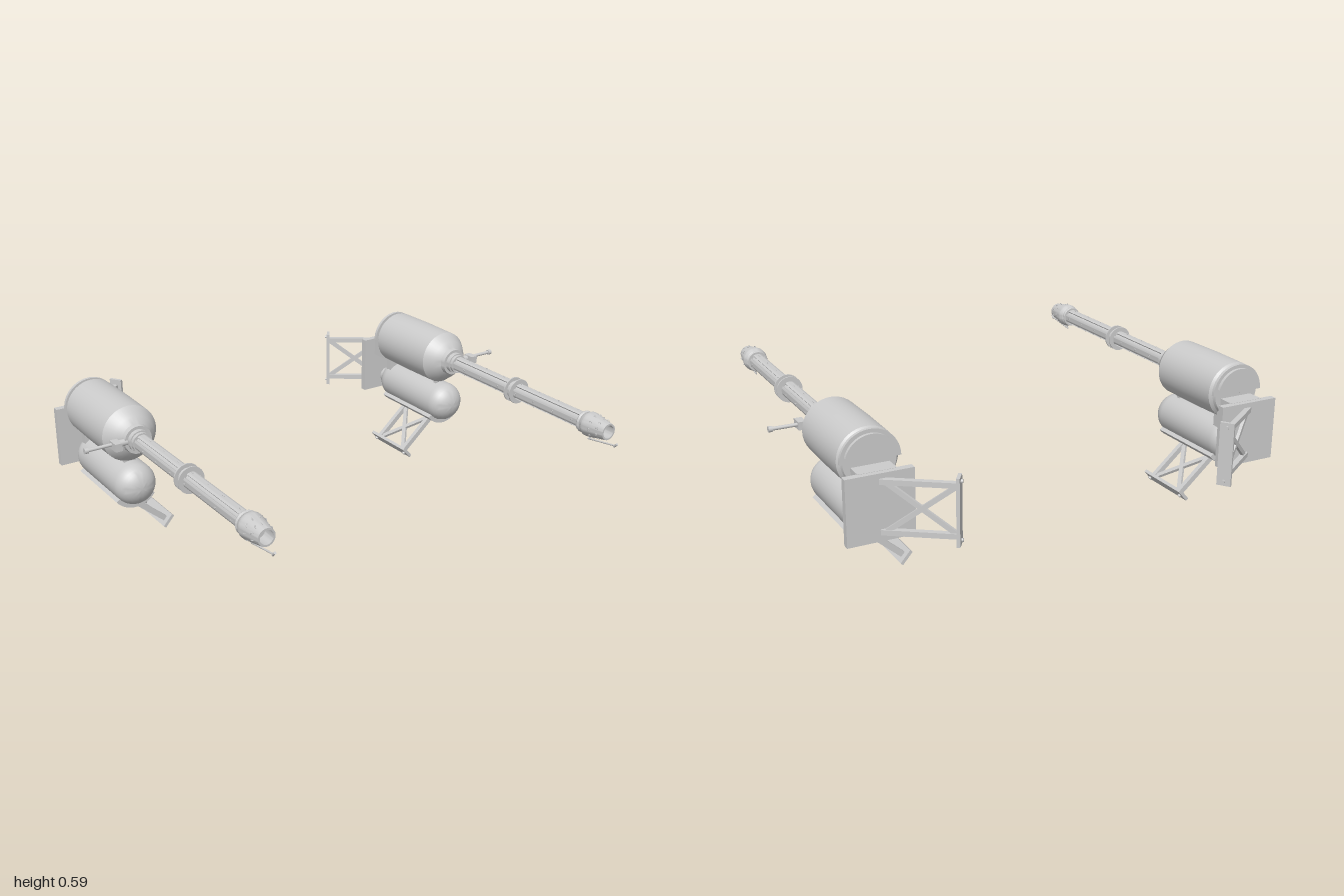
import * as THREE from 'three';
import { toCreasedNormals } from 'three/addons/utils/BufferGeometryUtils.js';

const V = (x, y, z) => new THREE.Vector3(x, y, z);
const mat = new THREE.MeshStandardMaterial({ color: 0xcccccc, side: THREE.DoubleSide });
const BODY_Y = 0.485, TANK_Y = 0.275, CX = 0.78;

function add(parent, name, geo, x = 0, y = 0, z = 0) {
  const mesh = new THREE.Mesh(geo, mat);
  mesh.name = name;
  mesh.position.set(x, y, z);
  parent.add(mesh);
  return mesh;
}

// Turned part along z; profile is [radius, z] from back to front
function turned(profile, segs = 40) {
  const geo = new THREE.LatheGeometry(profile.map(([r, z]) => new THREE.Vector2(r, z)), segs);
  return toCreasedNormals(geo.rotateX(Math.PI / 2), 0.45);
}

// Curved plate around the z axis, angles in degrees
function sector(r0, r1, a0, a1, z0, z1) {
  const s = new THREE.Shape(), k = Math.PI / 180;
  s.absarc(0, 0, r1, a0 * k, a1 * k, false);
  s.absarc(0, 0, r0, a1 * k, a0 * k, true);
  const geo = new THREE.ExtrudeGeometry(s, { depth: z1 - z0, bevelEnabled: false, curveSegments: 16 });
  return toCreasedNormals(geo.translate(0, 0, z0), 0.5);
}

// Square bar between two points; w is measured along axis, h across it
function bar(parent, name, a, b, w, h, axis) {
  const dir = b.clone().sub(a), len = dir.length();
  dir.normalize();
  const x = axis.clone().addScaledVector(dir, -axis.dot(dir)).normalize();
  const y = dir.clone().cross(x);
  const mesh = add(parent, name, new THREE.BoxGeometry(w, h, len));
  mesh.quaternion.setFromRotationMatrix(new THREE.Matrix4().makeBasis(x, y, dir));
  mesh.position.copy(a).add(b).multiplyScalar(0.5);
}

function rod(parent, name, a, b, r, r2 = r) {
  const dir = b.clone().sub(a);
  const mesh = add(parent, name, new THREE.CylinderGeometry(r2, r, dir.length(), 14));
  mesh.quaternion.setFromUnitVectors(V(0, 1, 0), dir.normalize());
  mesh.position.copy(a).add(b).multiplyScalar(0.5);
}

// Two rails with crossed braces and an end plate
function truss(parent, name, rootA, rootB, reach, plateWidth) {
  const g = new THREE.Group();
  g.name = name;
  parent.add(g);
  const tipA = rootA.clone().add(reach), tipB = rootB.clone().add(reach);
  const along = rootB.clone().sub(rootA).normalize();
  const out = reach.clone().normalize(), normal = out.clone().cross(along);
  bar(g, 'rail', rootA, tipA, 0.02, 0.022, along);
  bar(g, 'rail', rootB, tipB, 0.02, 0.022, along);
  const inset = reach.clone().multiplyScalar(0.06);
  bar(g, 'brace', rootA.clone().add(inset), tipB, 0.018, 0.012, along);
  bar(g, 'brace', rootB.clone().add(inset), tipA, 0.018, 0.012, along);
  const ends = [tipA.clone().addScaledVector(along, -0.033), tipB.clone().addScaledVector(along, 0.033)];
  bar(g, 'endPlate', ends[0], ends[1], plateWidth, 0.013, normal);
  for (const [tip, s] of [[tipA, -1], [tipB, 1]]) {
    const p = tip.clone().addScaledVector(along, s * 0.015);
    rod(g, 'bolt', p, p.clone().addScaledVector(out, 0.014), 0.007);
  }
}

function buildUnit(s) {
  const unit = new THREE.Group();
  unit.name = s > 0 ? 'leftUnit' : 'rightUnit';
  unit.position.x = s * CX;

  // Upper body, barrel and nozzle share one axis
  const upper = new THREE.Group();
  upper.name = 'upperAssembly';
  upper.position.y = BODY_Y;
  unit.add(upper);
  add(upper, 'mainBody', turned([[0, -0.595], [0.1, -0.595], [0.104, -0.583], [0.115, -0.572], [0.117, -0.4],
    [0.115, -0.23], [0.086, -0.188], [0.06, -0.17], [0.057, -0.15], [0.045, -0.15], [0.045, -0.13], [0, -0.13]]));
  add(upper, 'frontCollar', turned([[0, -0.15], [0.04, -0.15], [0.04, -0.115], [0, -0.115]]));
  add(upper, 'rearRim', sector(0.004, 0.114, 0, 180, -0.603, -0.59));
  add(upper, 'rearHatch', sector(0.004, 0.1, 15, 165, -0.616, -0.6));

  // Barrel core with four ventilated cover strips
  add(upper, 'barrelCore', turned([[0, -0.14], [0.028, -0.14], [0.028, 0.69], [0, 0.69]], 24));
  for (let i = 0; i < 4; i++) {
    const a = i * 90, k = a * Math.PI / 180;
    add(upper, 'barrelCover', sector(0.026, 0.034, a - 33, a + 33, -0.12, 0.67));
    for (let j = 0; j < 7; j++) {
      const vent = add(upper, 'ventRing', new THREE.TorusGeometry(0.0045, 0.0015, 6, 12),
        0.034 * Math.cos(k), 0.034 * Math.sin(k), -0.04 + j * 0.112);
      vent.rotation.set(-k, Math.PI / 2, 0, 'ZYX');
      vent.lookAt(vent.position.clone().add(V(Math.cos(k), Math.sin(k), 0)));
    }
  }
  for (const z of [0.248, 0.28]) {
    add(upper, 'barrelFlange', turned([[0.02, z - 0.003], [0.053, z - 0.003], [0.053, z + 0.003], [0.02, z + 0.003]]));
  }
  add(upper, 'flangeSleeve', turned([[0.038, 0.25], [0.038, 0.28]]));

  // Tapered open nozzle with perforations
  add(upper, 'nozzleRing', turned([[0.02, 0.665], [0.042, 0.665], [0.045, 0.672], [0.042, 0.68], [0.02, 0.68]]));
  add(upper, 'nozzle', turned([[0.03, 0.677], [0.043, 0.685], [0.05, 0.7], [0.05, 0.712], [0.034, 0.803],
    [0.027, 0.803], [0.03, 0.745], [0, 0.745]]));
  for (let row = 0; row < 2; row++) {
    for (let i = 0; i < 10; i++) {
      const a = (i + row / 2) * Math.PI / 5, z = 0.738 + row * 0.035, r = 0.05 - (z - 0.712) * 0.176;
      const hole = add(upper, 'nozzlePerforation', new THREE.TorusGeometry(0.005, 0.0016, 6, 12),
        r * Math.cos(a), r * Math.sin(a), z);
      hole.lookAt(hole.position.clone().add(V(Math.cos(a), Math.sin(a), 0.176)));
    }
  }
  // Pilot pipe below the nozzle
  rod(upper, 'pilotPipe', V(0, -0.064, 0.7), V(0, -0.043, 0.845), 0.0035);
  rod(upper, 'pilotBracket', V(0, -0.063, 0.708), V(0, -0.035, 0.708), 0.004);
  rod(upper, 'pilotTip', V(0, -0.048, 0.838), V(0, -0.034, 0.853), 0.005);

  // Side handle on the outer side
  const handle = new THREE.Group();
  handle.name = 'sideHandle';
  upper.add(handle);
  rod(handle, 'handleLink', V(s * 0.04, 0, -0.16), V(s * 0.09, 0, -0.16), 0.014);
  add(handle, 'handleBlock', new THREE.BoxGeometry(0.03, 0.032, 0.052), s * 0.094, 0, -0.148);
  rod(handle, 'handleBar', V(s * 0.1, 0.003, -0.16), V(s * 0.21, 0.003, -0.16), 0.007);
  rod(handle, 'handleKnob', V(s * 0.205, 0.003, -0.16), V(s * 0.22, 0.003, -0.16), 0.0115);

  // Lower tank with domed ends
  const tankProfile = [];
  for (let i = 0; i <= 8; i++) {
    const a = i * Math.PI / 16;
    tankProfile.push([0.087 * Math.sin(a), -0.555 - 0.075 * Math.cos(a)]);
  }
  for (let i = 8; i >= 0; i--) {
    const a = i * Math.PI / 16;
    tankProfile.push([0.087 * Math.sin(a), -0.22 + 0.075 * Math.cos(a)]);
  }
  add(unit, 'lowerTank', turned(tankProfile), 0, TANK_Y);
  add(unit, 'tankSaddle', sector(0.084, 0.104, 217, 323, -0.567, -0.212), 0, TANK_Y);

  // Links between body and tank
  add(unit, 'frontLink', new THREE.BoxGeometry(0.05, 0.05, 0.016), 0, 0.366, -0.252);
  add(unit, 'rearLink', new THREE.BoxGeometry(0.12, 0.065, 0.03), 0, 0.358, -0.558);

  // Rear mounting plate and its necks
  add(unit, 'upperNeck', new THREE.BoxGeometry(0.145, 0.08, 0.085), 0, 0.427, -0.62);
  rod(unit, 'lowerNeck', V(0, 0.268, -0.6), V(0, 0.268, -0.66), 0.037);
  add(unit, 'mountingPlate', new THREE.BoxGeometry(0.256, 0.252, 0.028), 0, 0.34, -0.67);

  // Trusses reaching inward from the plate and from the saddle
  truss(unit, 'rearTruss', V(0, 0.25, -0.68), V(0, 0.437, -0.68), V(-s * 0.222, 0, -0.155), 0.055);
  truss(unit, 'lowerTruss', V(0, 0.18, -0.478), V(0, 0.18, -0.296), V(-s * 0.163, -0.142, 0), 0.06);
  return unit;
}

export function createModel() {
  const model = new THREE.Group();
  model.name = 'twinTankProjectors';
  model.add(buildUnit(1), buildUnit(-1));
  return model;
}
